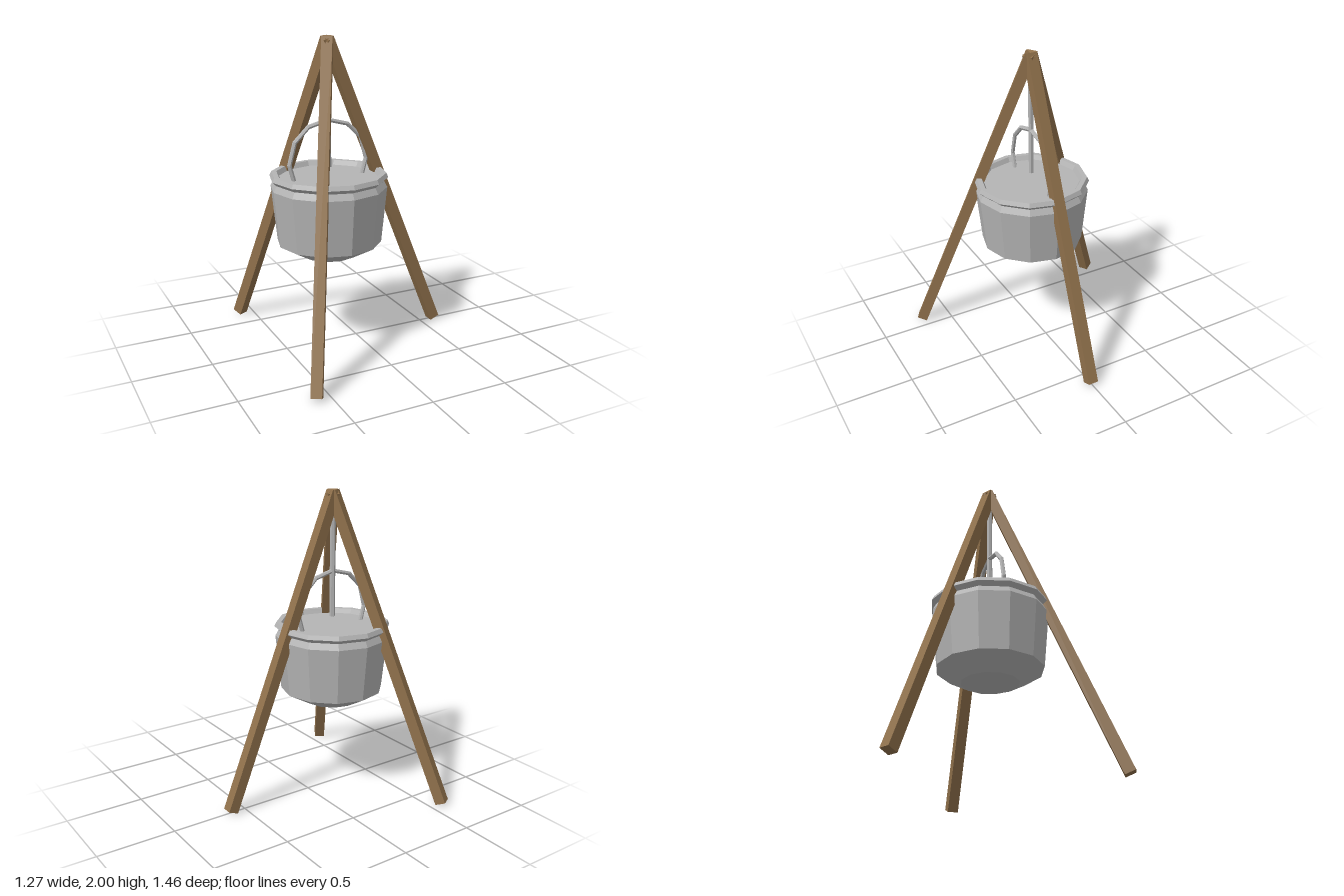
import * as THREE from 'three';

const wood = new THREE.MeshStandardMaterial({ color: 0x8f704b });
wood.name = 'brown wood';
const metal = new THREE.MeshStandardMaterial({ color: 0xb4b4b4 });
metal.name = 'grey metal';

// Faceted mesh: separate faces so every side is flat
function part(name, geometry, material) {
  const g = geometry.index ? geometry.toNonIndexed() : geometry;
  g.computeVertexNormals();
  const mesh = new THREE.Mesh(g, material);
  mesh.name = name;
  return mesh;
}

// Three square poles leaning together at the top
function makeTripod() {
  const tripod = new THREE.Group();
  tripod.name = 'tripod';
  const top = new THREE.Vector2(-0.005, 1.987);
  const foot = new THREE.Vector2(0.793, 0.013);
  const tilt = Math.atan2(foot.x - top.x, top.y - foot.y);
  for (let i = 0; i < 3; i++) {
    const leg = new THREE.Group();
    leg.name = 'leg' + (i + 1);
    const pole = part('pole', new THREE.BoxGeometry(0.068, top.distanceTo(foot), 0.068), wood);
    pole.position.set((top.x + foot.x) / 2, (top.y + foot.y) / 2, 0);
    pole.rotation.z = tilt;
    leg.add(pole);
    leg.rotation.y = (i * Math.PI * 2) / 3;
    tripod.add(leg);
  }
  return tripod;
}

// Twelve-sided pot: base, belly, shoulder groove, rim, inner lip and flat filling
function makePot() {
  const profile = [
    [0, 0.615], [0.182, 0.615], [0.335, 0.7], [0.371, 1.061], [0.35, 1.1],
    [0.377, 1.125], [0.364, 1.152], [0.332, 1.152], [0.316, 1.122], [0, 1.122],
  ].map(([r, y]) => new THREE.Vector2(r, y));
  return part('pot', new THREE.LatheGeometry(profile, 12), metal);
}

// Arched handle with straight segments between its bends
function makeHandle() {
  const half = [[0.23, 1.1], [0.263, 1.22], [0.225, 1.36], [0.133, 1.45]];
  const points = [
    ...half.map(([x, y]) => new THREE.Vector3(-x, y, 0)),
    new THREE.Vector3(0, 1.485, 0),
    ...half.slice().reverse().map(([x, y]) => new THREE.Vector3(x, y, 0)),
  ];
  const arch = new THREE.CatmullRomCurve3(points);
  arch.getPointAt = (u, target) => arch.getPoint(u, target);
  arch.getTangentAt = (u, target) => arch.getTangent(u, target);
  return part('handle', new THREE.TubeGeometry(arch, points.length - 1, 0.0145, 6), metal);
}

// Hanging rod from the tripod head
function makeRod() {
  const rod = part('hangingRod', new THREE.CylinderGeometry(0.018, 0.018, 0.79, 6), metal);
  rod.position.y = 1.58;
  return rod;
}

export function createModel() {
  const model = new THREE.Group();
  model.name = 'tripodCookingPot';
  const assembly = new THREE.Group();
  assembly.name = 'assembly';
  assembly.add(makeTripod(), makePot(), makeHandle(), makeRod());
  assembly.position.x = -0.192;
  model.add(assembly);
  return model;
}
